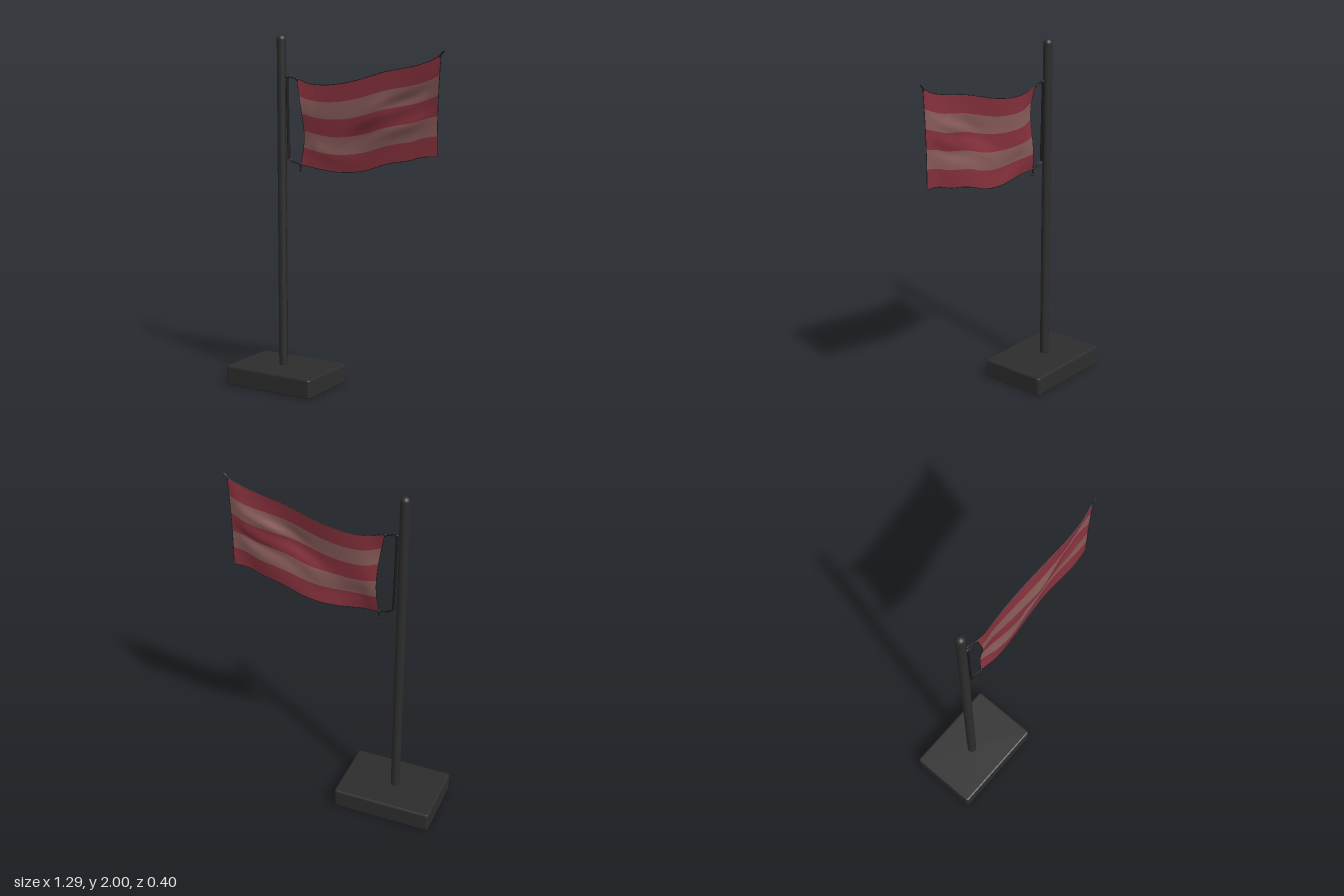
import * as THREE from 'three';

const V = (x, y, z = 0) => new THREE.Vector3(x, y, z);
const POLE_X = -0.375;

function mat(name, color, side = THREE.FrontSide) {
  const m = new THREE.MeshStandardMaterial({ color, side });
  m.name = name;
  return m;
}

// Curve through a few [x, y] pairs
const curve = pts => new THREE.CatmullRomCurve3(pts.map(p => V(...p)));

// Grid surface from point(u, v); rows run along v, one material group per band
function gridSurface(nu, nv, bands, point) {
  const pos = [], idx = [];
  for (let j = 0; j <= nv; j++)
    for (let i = 0; i <= nu; i++) pos.push(...point(i / nu, j / nv).toArray());
  const w = nu + 1;
  for (let j = 0; j < nv; j++)
    for (let i = 0; i < nu; i++) {
      const a = j * w + i, b = a + w;
      idx.push(a, b, a + 1, b, b + 1, a + 1);
    }
  const g = new THREE.BufferGeometry();
  g.setAttribute('position', new THREE.Float32BufferAttribute(pos, 3));
  g.setIndex(idx);
  g.computeVertexNormals();
  const size = idx.length / bands;
  for (let k = 0; k < bands; k++) g.addGroup(k * size, size, k % 2);
  return g;
}

// Hollow base, open underneath: rounded-rectangle loops stacked upward
function baseGeometry() {
  const loops = [[0, 0.006], [0.006, 0], [0.1, 0], [0.107, 0.003], [0.11, 0.01]];
  const hx = 0.2875, hz = 0.2, r = 0.016, steps = 4, pos = [], idx = [];
  const n = 4 * (steps + 1);
  for (const [y, inset] of loops)
    for (let c = 0; c < 4; c++)
      for (let s = 0; s <= steps; s++) {
        const a = (c + s / steps) * Math.PI / 2;
        const sx = c === 0 || c === 3 ? 1 : -1, sz = c < 2 ? 1 : -1;
        pos.push(sx * (hx - r) + Math.cos(a) * (r - inset), y, sz * (hz - r) + Math.sin(a) * (r - inset));
      }
  for (let j = 0; j < loops.length - 1; j++)
    for (let i = 0; i < n; i++) {
      const a = j * n + i, b = j * n + (i + 1) % n;
      idx.push(a, a + n, b, b, a + n, b + n);
    }
  // top plate
  const top = (loops.length - 1) * n, centre = pos.length / 3;
  pos.push(0, 0.11, 0);
  for (let i = 0; i < n; i++) idx.push(centre, top + (i + 1) % n, top + i);
  const g = new THREE.BufferGeometry();
  g.setAttribute('position', new THREE.Float32BufferAttribute(pos, 3));
  g.setIndex(idx);
  const flat = g.toNonIndexed();
  flat.computeVertexNormals();
  return flat;
}

export function createModel() {
  const model = new THREE.Group();
  model.name = 'flagOnPole';
  const dark = mat('charcoal', 0x2d2d2d, THREE.DoubleSide);
  const black = mat('ropeBlack', 0x1a1a1a);
  const red = mat('stripeRed', 0x84303b, THREE.DoubleSide);
  const pale = mat('stripeRose', 0x865a58, THREE.DoubleSide);

  const add = (name, geo, material, parent = model) => {
    const m = new THREE.Mesh(geo, material);
    m.name = name;
    parent.add(m);
    return m;
  };
  const rope = (name, pts, r = 0.003) =>
    add(name, new THREE.TubeGeometry(curve(pts), pts.length * 8, r, 6), black);
  const bead = (name, x, y, r) =>
    add(name, new THREE.SphereGeometry(r, 10, 8), black).position.set(x, y, 0);

  // Base
  add('base', baseGeometry(), dark).position.x = -0.3575;

  // Pole with rounded top
  const profile = [[0.026, 0.1], [0.026, 1.975]];
  for (let i = 1; i <= 6; i++) {
    const a = i / 6 * Math.PI / 2;
    profile.push([0.026 * Math.cos(a), 1.975 + 0.025 * Math.sin(a)]);
  }
  add('pole', new THREE.LatheGeometry(profile.map(p => new THREE.Vector2(Math.max(p[0], 0), p[1])), 24), dark)
    .position.x = POLE_X;

  // Halyard lying along the pole
  rope('halyard', [[-0.35, 0.11], [-0.35, 1.0], [-0.35, 1.97]], 0.002);

  // Flag cloth: top and bottom edges, filled with gentle folds
  const topEdge = curve([[-0.27, 1.76], [-0.19, 1.735], [-0.1, 1.73], [0, 1.74], [0.1, 1.76], [0.2, 1.788],
    [0.3, 1.815], [0.4, 1.833], [0.5, 1.855], [0.57, 1.88], [0.62, 1.91]]);
  const bottomEdge = curve([[-0.25, 1.283], [-0.17, 1.275], [-0.08, 1.263], [0, 1.257], [0.09, 1.262], [0.18, 1.28],
    [0.27, 1.312], [0.35, 1.332], [0.43, 1.345], [0.52, 1.372], [0.605, 1.38]]);
  const bump = (u, v, cu, cv, su, sv, tilt) => {
    const du = u - cu, dv = v - cv + tilt * du;
    return Math.exp(-((du / su) ** 2) - (dv / sv) ** 2);
  };
  const cloth = (u, v) => {
    const p = topEdge.getPoint(u).lerp(bottomEdge.getPoint(u), v);
    p.x += 0.027 * Math.sin(Math.PI * v) * (1 - u) ** 4 - 0.006 * Math.sin(Math.PI * v) * u ** 6;
    const ends = Math.min(1, u * 8) * Math.min(1, (1 - u) * 8);
    p.z = ends * (0.013 * Math.sin(7 * u + 4.5 * v + 2.6)
      + 0.022 * bump(u, v, 0.54, 0.4, 0.13, 0.11, 0.5)
      - 0.016 * bump(u, v, 0.66, 0.36, 0.2, 0.06, 0.3)
      + 0.014 * bump(u, v, 0.78, 0.62, 0.2, 0.07, 0.25)
      - 0.012 * bump(u, v, 0.45, 0.62, 0.1, 0.15, 0.6)
      + 0.008 * bump(u, v, 0.2, 0.8, 0.2, 0.1, -0.3))
      + 0.014 * Math.sin(Math.PI * 2 * v) * (1 - u) ** 3;
    return p;
  };
  add('flag', gridSurface(60, 40, 5, cloth), [red, pale]);

  // Dark cord sewn along the four edges of the cloth
  const hem = (name, f) => {
    const pts = Array.from({ length: 25 }, (_, i) => f(i / 24));
    add(name, new THREE.TubeGeometry(new THREE.CatmullRomCurve3(pts), 48, 0.002, 5), black);
  };
  hem('topHem', t => cloth(t, 0));
  hem('bottomHem', t => cloth(t, 1));
  hem('hoistHem', t => cloth(0, t));
  hem('flyHem', t => cloth(1, t));

  // Corner tip at the fly end
  rope('flyTip', [[0.612, 1.895], [0.623, 1.915], [0.64, 1.93]], 0.004);

  // Doubled line hanging beside the pole, tied to the hoist corners
  for (const z of [-0.006, 0.006]) {
    rope('upperTie', [[-0.352, 1.768, z], [-0.32, 1.768, z], [-0.268, 1.756, 0]]);
    rope('lowerTie', [[-0.328, 1.312, z], [-0.305, 1.298, z], [-0.25, 1.285, 0]]);
    rope('sideLine', [[-0.337, 1.768, z], [-0.334, 1.54, z], [-0.328, 1.312, z]], 0.005);
  }
  bead('upperKnot', -0.272, 1.757, 0.009);
  bead('lineKnot', -0.337, 1.768, 0.009);
  bead('lowerKnot', -0.25, 1.284, 0.008);
  rope('looseEnd', [[-0.25, 1.284], [-0.251, 1.265], [-0.25, 1.248]], 0.004);
  bead('looseEndKnot', -0.25, 1.25, 0.007);

  return model;
}
